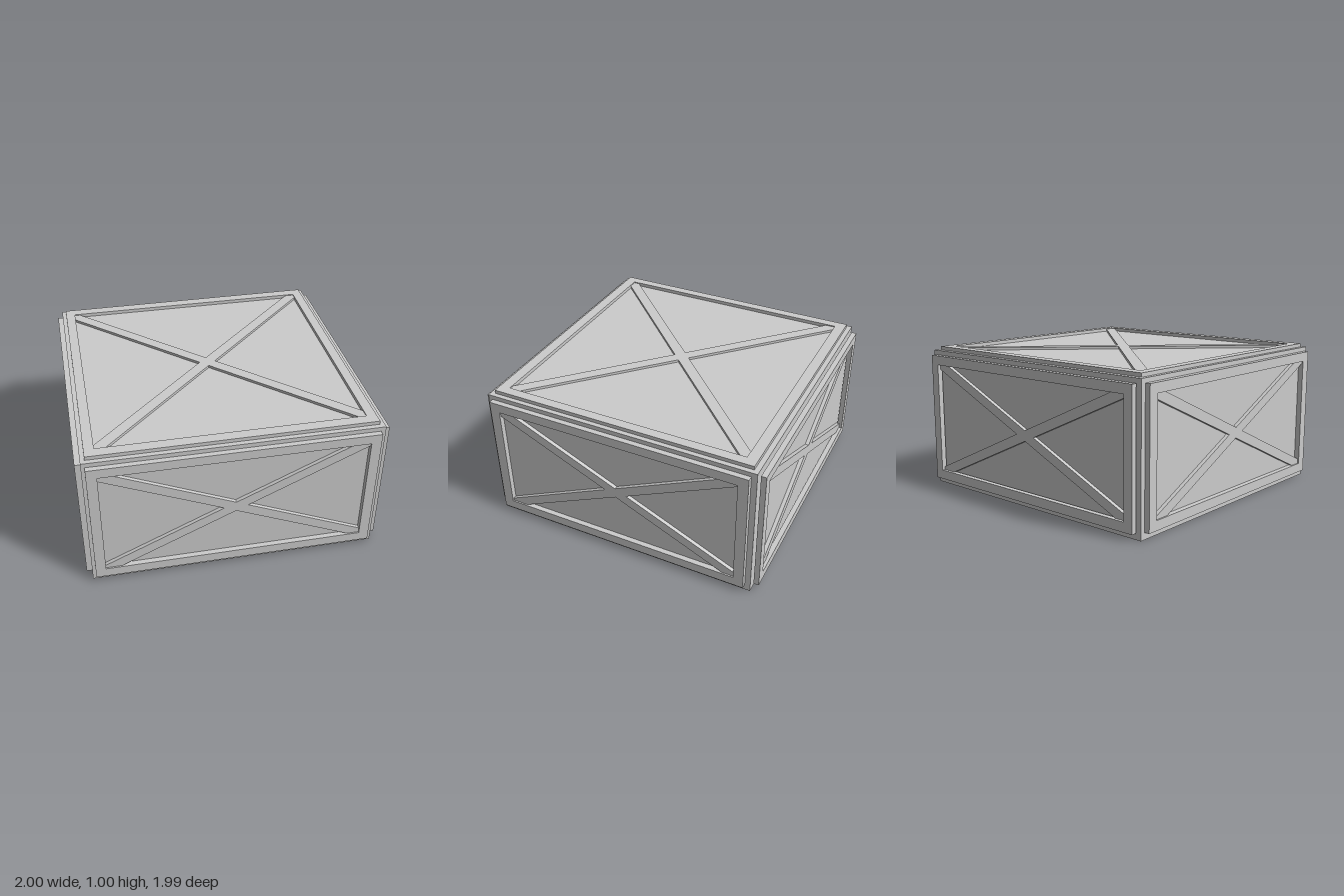
import * as THREE from 'three';

const material = new THREE.MeshStandardMaterial({ color: 0xcccccc, flatShading: true });

const polygon = (points, Type = THREE.Shape) =>
  new Type(points.map(([x, y]) => new THREE.Vector2(x, y)));

const rect = (w, h, Type) =>
  polygon([[-w / 2, -h / 2], [w / 2, -h / 2], [w / 2, h / 2], [-w / 2, h / 2]], Type);

function extruded(name, shape, depth) {
  const geometry = new THREE.ExtrudeGeometry(shape, { depth, bevelEnabled: false });
  const mesh = new THREE.Mesh(geometry, material);
  mesh.name = name;
  return mesh;
}

// X outline clipped to a rectangle: v is the half height of a brace,
// rise and fall are the slopes of its two diagonals
function crossShape(w, h, v, rise, fall) {
  const W = w / 2, H = h / 2, n = (2 * v) / (rise + fall);
  return polygon([
    [n, 0], [W, rise * W - v], [W, H], [(H - v) / rise, H],
    [0, v], [-(H - v) / fall, H], [-W, H], [-W, fall * W - v],
    [-n, 0], [-W, v - rise * W], [-W, -H], [-(H - v) / rise, -H],
    [0, -v], [(H - v) / fall, -H], [W, -H], [W, v - fall * W],
  ]);
}

// Rectangular frame with recessed cross braces, facing local +z
function panel(name, { w, h, innerW, innerH, depth, braceDepth, v, rise, fall, gap = 0 }) {
  const group = new THREE.Group();
  group.name = name;
  const border = rect(w, h);
  border.holes.push(rect(innerW, innerH, THREE.Path));
  const frame = extruded('frame', border, depth);
  frame.position.z = gap;
  // Braces run a little way under the frame
  const braces = extruded('crossBraces',
    crossShape(innerW + 0.06, innerH + 0.06, v, rise, fall), braceDepth);
  group.add(frame, braces);
  return group;
}

export function createModel() {
  const model = new THREE.Group();
  model.name = 'crate';

  // Solid body
  const body = new THREE.Mesh(new THREE.BoxGeometry(1.925, 0.975, 1.907), material);
  body.name = 'body';
  body.position.set(0, 0.4875, 0.0035);
  model.add(body);

  // Side panels: same build, placed on four walls
  const wall = { w: 1.87, h: 0.9, innerW: 1.735, innerH: 0.77, depth: 0.036,
    braceDepth: 0.026, v: 0.036, rise: 0.46, fall: 0.445 };
  const sideWall = { ...wall, w: 1.84, innerW: 1.7, rise: 0.475, fall: 0.455 };
  const walls = [
    ['frontPanel', wall, [-0.005, 0.495, 0.957], 0],
    ['backPanel', { ...wall, w: 1.865, gap: 0.011 }, [0, 0.495, -0.95], Math.PI],
    ['leftPanel', sideWall, [0.9625, 0.495, 0.008], Math.PI / 2],
    ['rightPanel', sideWall, [-0.9625, 0.495, 0.004], -Math.PI / 2],
  ];
  for (const [name, spec, position, turn] of walls) {
    const side = panel(name, spec);
    side.position.set(...position);
    side.rotation.y = turn;
    model.add(side);
  }

  // Lid panel
  const lid = panel('lidPanel', { w: 1.865, h: 1.84, innerW: 1.735, innerH: 1.695,
    depth: 0.025, braceDepth: 0.018, v: 0.053, rise: 0.99, fall: 0.96 });
  lid.position.set(-0.002, 0.975, 0.004);
  lid.rotation.x = -Math.PI / 2;
  model.add(lid);

  return model;
}
